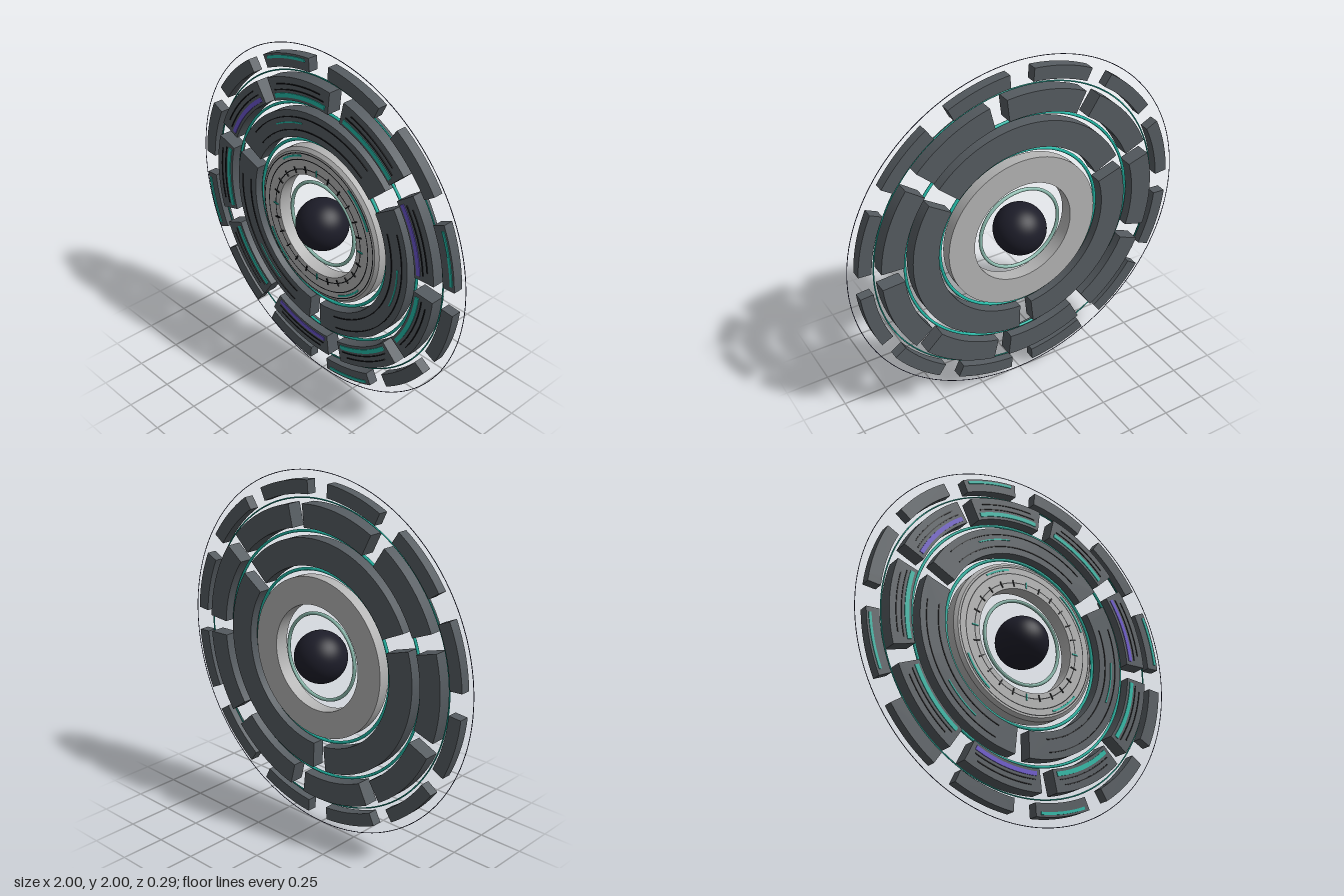
import * as THREE from 'three';
import { toCreasedNormals } from 'three/addons/utils/BufferGeometryUtils.js';

const RAD = Math.PI / 180;

function paint(name, color) {
  const m = new THREE.MeshStandardMaterial({ color });
  m.name = name;
  return m;
}

const slate = paint('slate', 0x555b60);
const silver = paint('silver', 0xb4b4b4);
const teal = paint('teal', 0x22b8a6);
const paleTeal = paint('paleTeal', 0x8fbfb2);
const violet = paint('violet', 0x6a55cc);
const ink = paint('ink', 0x0e1014);
const night = paint('night', 0x1d1d29);
const indigo = paint('indigo', 0x2c2c4c);

// Arc-shaped block from angle a0 to a1 (degrees), between two radii and two depths
function sector(r0, r1, a0, a1, z0, z1) {
  const shape = new THREE.Shape();
  shape.absarc(0, 0, r1, a0 * RAD, a1 * RAD, false);
  shape.absarc(0, 0, r0, a1 * RAD, a0 * RAD, true);
  const steps = Math.max(4, Math.ceil((a1 - a0) / 2.5));
  const geo = new THREE.ExtrudeGeometry(shape, { depth: z1 - z0, bevelEnabled: false, curveSegments: steps });
  geo.translate(0, 0, z0);
  return toCreasedNormals(geo, 0.5);
}

export function createModel() {
  const model = new THREE.Group();
  model.name = 'ringDevice';
  const body = new THREE.Group();
  body.name = 'rings';
  body.position.y = 1;
  model.add(body);

  const add = (name, geo, mat) => {
    const mesh = new THREE.Mesh(geo, mat);
    mesh.name = name;
    body.add(mesh);
    return mesh;
  };
  // Thin plate lying on a front face at depth z
  const plate = (name, r, width, a0, a1, z, mat, thick = 0.004) =>
    add(name, sector(r - width / 2, r + width / 2, a0, a1, z - 0.001, z + thick), mat);
  const hoop = (name, r, tube, mat) =>
    add(name, new THREE.TorusGeometry(r, tube, 8, 128), mat);

  // Core and hoops
  add('core', new THREE.SphereGeometry(0.145, 48, 32), night);
  hoop('innerHoop', 0.24, 0.01, paleTeal);
  hoop('dialHoop', 0.48, 0.009, teal);
  hoop('middleHoop', 0.682, 0.008, teal);
  hoop('thinHoop', 0.855, 0.004, teal);
  hoop('outerLine', 0.998, 0.002, indigo);

  // Silver dial with a chamfered front rim
  const profile = [[0.297, -0.04], [0.448, -0.04], [0.448, 0.025], [0.43, 0.04], [0.297, 0.04], [0.297, -0.04]];
  const dial = new THREE.LatheGeometry(profile.map(([x, y]) => new THREE.Vector2(x, y)), 96);
  dial.rotateX(Math.PI / 2);
  add('dial', toCreasedNormals(dial, 0.4), silver);

  // Engraved circles, ticks and lit marks on the dial
  for (const r of [0.418, 0.382, 0.328]) {
    const line = add('dialLine', new THREE.RingGeometry(r - 0.003, r + 0.003, 96), ink);
    line.position.z = 0.042;
  }
  for (let i = 0; i < 24; i++) {
    const a = i * 15;
    const lit = i % 6 === 0;
    const tick = add('dialTick', new THREE.BoxGeometry(0.036, 0.007, 0.005), lit ? teal : ink);
    tick.position.set(0.326 * Math.cos(a * RAD), 0.326 * Math.sin(a * RAD), 0.0425);
    tick.rotation.z = a * RAD;
  }
  for (const [a0, a1] of [[22, 55], [107, 130], [205, 235], [295, 322]]) {
    plate('dialMark', 0.403, 0.01, a0, a1, 0.04, teal);
  }

  // Three long inner segments: start, end, lit mark start, lit mark end
  const inner = [[42, 154, 101, 122], [162, 264, 216, 238], [272, 393.5, 337, 362]];
  for (const [a0, a1, m0, m1] of inner) {
    add('innerSegment', sector(0.504, 0.652, a0, a1, -0.037, 0.037), slate);
    plate('innerGroove', 0.545, 0.006, a0 + 12, a1 - 12, 0.037, ink);
    plate('innerGroove', 0.615, 0.005, a0 + 12, a1 - 12, 0.037, ink);
    plate('innerMark', 0.585, 0.007, m0, m1, 0.037, teal);
  }

  // Nine middle segments, every third one lit violet
  for (let i = 0; i < 9; i++) {
    const a = 20 + i * 40;
    add('middleSegment', sector(0.704, 0.83, a - 16.6, a + 16.6, -0.042, 0.042), slate);
    plate('middleLight', 0.732, 0.024, a - 14.8, a + 14.8, 0.042, i % 3 === 0 ? violet : teal);
    plate('middleGroove', 0.762, 0.006, a - 14, a + 14, 0.042, ink);
    plate('middleGroove', 0.792, 0.006, a - 12, a + 12, 0.042, ink);
  }

  // Twelve outer segments, every third one lit teal
  for (let i = 0; i < 12; i++) {
    const a = 15 + i * 30;
    add('outerSegment', sector(0.877, 0.95, a - 10.8, a + 10.8, -0.028, 0.028), slate);
    if (i % 3 === 0) plate('outerLight', 0.931, 0.015, a - 9, a + 9, 0.028, teal);
  }

  return model;
}
